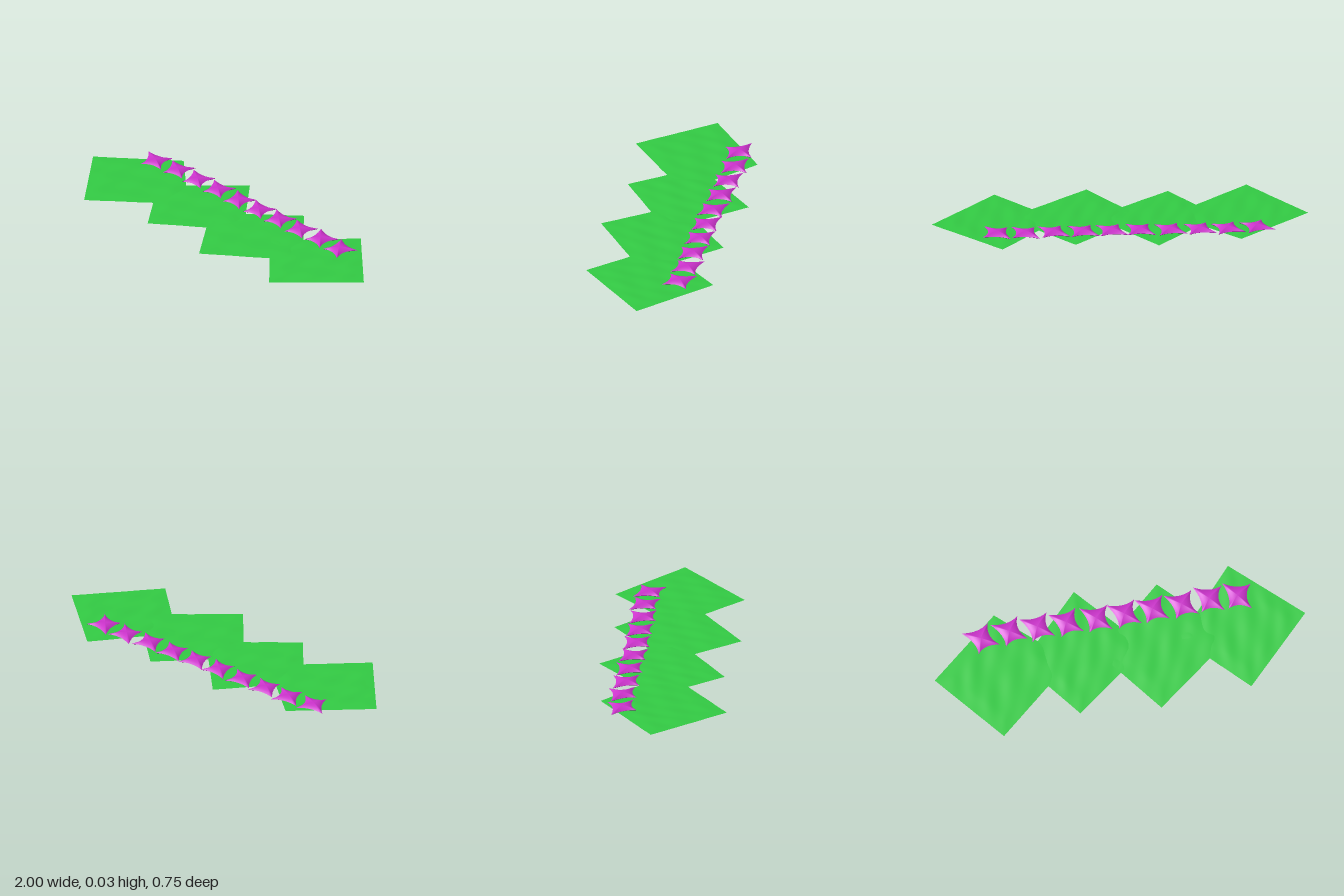
import * as THREE from 'three';

const green = new THREE.MeshStandardMaterial({ color: 0x33cc44, side: THREE.DoubleSide });
const purple = new THREE.MeshStandardMaterial({ color: 0xcc33cc });

function buildGeometry(positions, indices) {
  const g = new THREE.BufferGeometry();
  g.setAttribute('position', new THREE.Float32BufferAttribute(positions, 3));
  g.setIndex(indices);
  g.computeVertexNormals();
  return g;
}

// Thin rumpled square of cloth; corners are [x, z] in the order left, front, right, back
function clothGeometry([left, front, right, back], seed) {
  const n = 30, pos = [], idx = [];
  const mix = (k, u, v) =>
    (left[k] * (1 - u) + front[k] * u) * (1 - v) + (back[k] * (1 - u) + right[k] * u) * v;
  for (let j = 0; j <= n; j++) {
    for (let i = 0; i <= n; i++) {
      const u = i / n, v = j / n;
      // edges waver slightly while the corners stay put
      const wu = u + 0.012 * Math.sin(Math.PI * u) * Math.sin(9 * v + seed);
      const wv = v + 0.012 * Math.sin(Math.PI * v) * Math.sin(8 * u + seed * 2);
      const ripple = Math.sin(13 * u + 5 * v + seed) * Math.sin(11 * v - 4 * u + seed * 1.7)
        + 0.5 * Math.sin(25 * u + 17 * v + seed * 3);
      const inner = Math.min(1, 0.25 + 5 * Math.min(u, 1 - u, v, 1 - v));
      const y = 0.001 + inner * (0.003 + 0.0018 * ripple);
      pos.push(mix(0, wu, wv), Math.max(0, y), mix(1, wu, wv));
      if (i < n && j < n) {
        const a = j * (n + 1) + i, b = a + n + 1;
        idx.push(a, a + 1, b, a + 1, b + 1, b);
      }
    }
  }
  return buildGeometry(pos, idx);
}

// Puffed four-pointed cushion with pinched sides and a sharp rim
function cushionGeometry() {
  const corners = [[-0.082, -0.07], [0.07, -0.07], [0.08, 0.07], [-0.045, 0.072]];
  const waists = [[0, -0.052], [0.05, 0], [0.012, 0.052], [-0.046, 0.005]];
  const outline = [], side = 8;
  corners.forEach((c, k) => {
    const d = corners[(k + 1) % 4], w = waists[k];
    const curve = new THREE.QuadraticBezierCurve(
      new THREE.Vector2(...c),
      new THREE.Vector2(2 * w[0] - (c[0] + d[0]) / 2, 2 * w[1] - (c[1] + d[1]) / 2),
      new THREE.Vector2(...d));
    for (let i = 0; i < side; i++) outline.push(curve.getPoint(i / side));
  });

  // rings from the bottom centre out to the rim, then back in to the top centre
  const radii = [0, 0.2, 0.4, 0.6, 0.75, 0.88, 1];
  const puff = r => 0.0135 * (1 - r ** 2.4);
  const rings = [
    ...radii.map(r => [r, -puff(r)]),
    ...radii.slice().reverse().map(r => [r, puff(r)]),
  ];
  const n = outline.length, pos = [], idx = [];
  rings.forEach(([r, y], k) => {
    outline.forEach((p, i) => {
      pos.push(p.x * r, y, p.y * r);
      if (k === rings.length - 1 || k === radii.length - 1) return;
      const a = k * n + i, b = k * n + (i + 1) % n;
      idx.push(a, a + n, b, b, a + n, b + n);
    });
  });
  return buildGeometry(pos, idx);
}

export function createModel() {
  const group = new THREE.Group();

  // Row of overlapping cloths laid corner to corner
  const cloths = [
    [[-1, 0], [-0.69, 0.37], [-0.27, 0.01], [-0.63, -0.31]],
    [[-0.53, -0.02], [-0.27, 0.31], [0.14, 0], [-0.19, -0.37]],
    [[-0.12, -0.01], [0.16, 0.35], [0.6, 0.01], [0.25, -0.34]],
    [[0.32, -0.02], [0.65, 0.31], [1, -0.05], [0.64, -0.38]],
  ];
  cloths.forEach((corners, k) => {
    const mesh = new THREE.Mesh(clothGeometry(corners, k * 2.3 + 0.7), green);
    mesh.name = `cloth${k + 1}`;
    group.add(mesh);
  });

  // Row of cushions: x, z, turn
  const cushion = cushionGeometry();
  const places = [
    [-0.72, -0.185, 0.25], [-0.565, -0.2, 0.18], [-0.415, -0.2, 0.1], [-0.26, -0.2, 0.1],
    [-0.1, -0.197, -0.03], [0.052, -0.197, 0.06], [0.203, -0.2, 0.04], [0.36, -0.2, 0.06],
    [0.51, -0.208, -0.1], [0.66, -0.2, -0.18],
  ];
  places.forEach(([x, z, turn], k) => {
    const mesh = new THREE.Mesh(cushion, purple);
    mesh.name = `starCushion${k + 1}`;
    mesh.position.set(x, 0.0165, z);
    mesh.rotation.y = turn;
    group.add(mesh);
  });
  return group;
}
